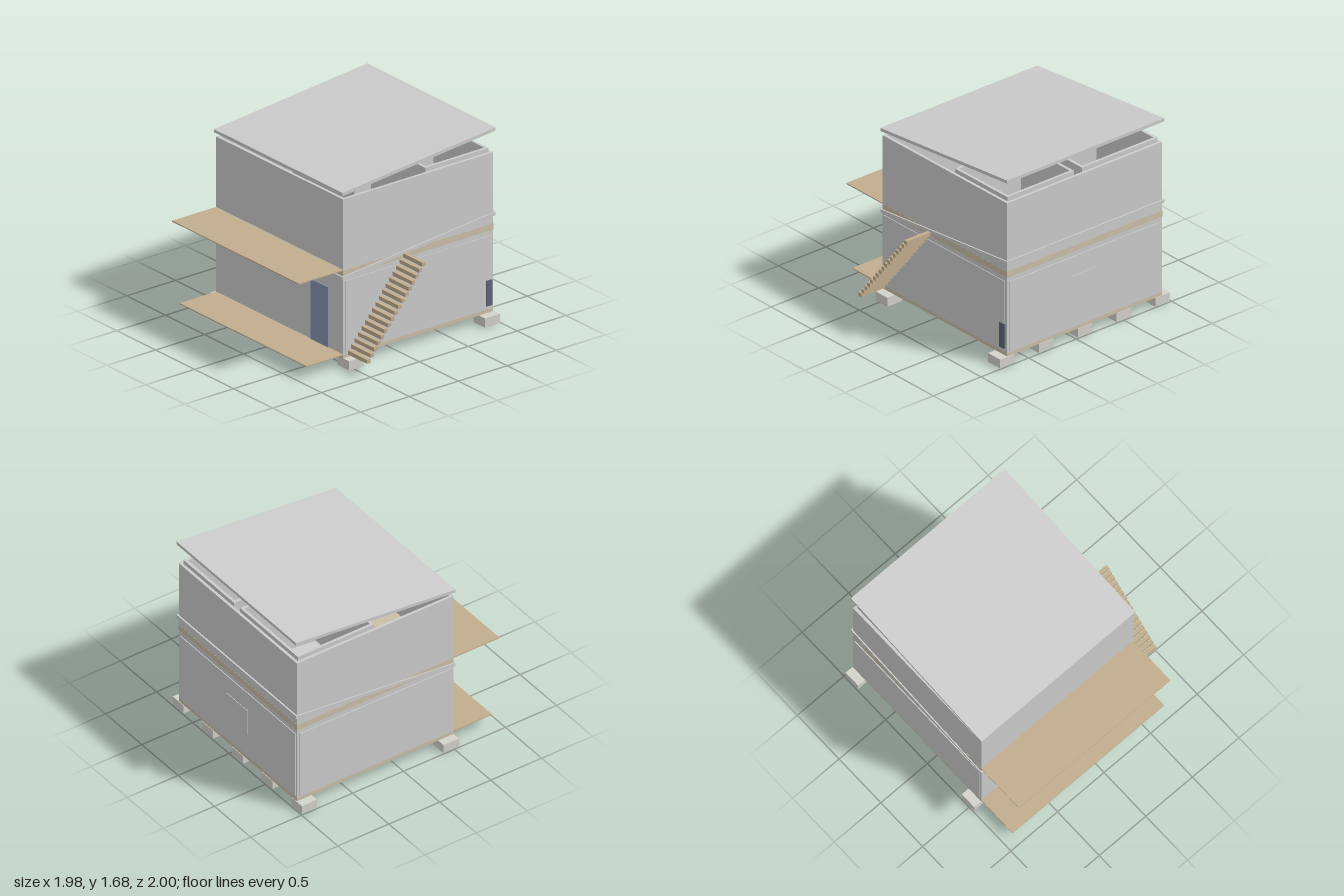
import * as THREE from 'three';

const paint = (color) => new THREE.MeshStandardMaterial({ color, flatShading: true });
const grey = paint(0xcccccc);
const timber = paint(0xc1ad8e);
const slab = paint(0xcabfa8);
const concrete = paint(0xd2d1ca);
const doorBlue = paint(0x8390af);
const glass = paint(0x5c6573);

// Box given by its limits on each axis
function box(name, [x0, x1], [y0, y1], [z0, z1], material = grey) {
  const mesh = new THREE.Mesh(new THREE.BoxGeometry(x1 - x0, y1 - y0, z1 - z0), material);
  mesh.position.set((x0 + x1) / 2, (y0 + y1) / 2, (z0 + z1) / 2);
  mesh.name = name;
  return mesh;
}

// Rectangular ring of walls, open at top and bottom
function walls(name, [x0, x1], [y0, y1], [z0, z1], t) {
  const rect = (Type, a, b, c, d) =>
    new Type([[a, c], [b, c], [b, d], [a, d]].map(([x, y]) => new THREE.Vector2(x, y)));
  const shape = rect(THREE.Shape, x0, x1, -z1, -z0);
  shape.holes.push(rect(THREE.Path, x0 + t, x1 - t, -z1 + t, -z0 - t));
  const geometry = new THREE.ExtrudeGeometry(shape, { depth: y1 - y0, bevelEnabled: false });
  geometry.rotateX(-Math.PI / 2);
  const mesh = new THREE.Mesh(geometry, grey);
  mesh.position.y = y0;
  mesh.name = name;
  return mesh;
}

// Plate rising towards the back; y is the underside at the front edge
function slopedRoof(name, y) {
  const shape = new THREE.Shape();
  shape.moveTo(-0.565, y);
  shape.lineTo(1.0, y + 0.152);
  shape.lineTo(1.0, y + 0.18);
  shape.lineTo(-0.565, y + 0.028);
  const geometry = new THREE.ExtrudeGeometry(shape, { depth: 1.65, bevelEnabled: false });
  geometry.rotateY(Math.PI / 2);
  const mesh = new THREE.Mesh(geometry, grey);
  mesh.position.x = -0.925;
  mesh.name = name;
  return mesh;
}

export function createModel() {
  const model = new THREE.Group();
  model.name = 'house';
  const X = [-0.915, 0.712];
  const Z = [-0.985, 0.55];

  // Footings in two rows
  const footings = new THREE.Group();
  footings.name = 'footings';
  for (let i = 0; i < 5; i++) {
    const x = -0.99 + i * 0.4075;
    for (const z of [-0.99, 0.4]) {
      footings.add(box('footing', [x, x + 0.15], [0, 0.08], [z, z + 0.15], concrete));
    }
  }
  model.add(footings);

  // Floors and front decks
  model.add(
    box('groundFloor', X, [0.08, 0.11], Z, slab),
    box('upperFloor', [X[0] - 0.001, X[1] + 0.001], [0.79, 0.845], [Z[0] - 0.001, Z[1] + 0.001], slab),
    box('lowerDeck', X, [0.105, 0.114], [0.55, 0.925], timber),
    box('upperDeck', X, [0.842, 0.851], [0.55, 1.0], timber)
  );

  // Both storeys
  model.add(
    walls('lowerWalls', X, [0.11, 0.79], Z, 0.025),
    walls('upperWalls', X, [0.845, 1.463], Z, 0.025)
  );

  // Cladding on the sides and back
  model.add(
    box('leftCladding', [0.71, 0.718], [0.13, 0.75], [-0.96, 0.53]),
    box('rightCladding', [-0.923, -0.914], [0.13, 0.75], [-0.96, 0.53]),
    box('backCladding', [-0.9, 0.69], [0.13, 0.75], [-0.992, -0.984])
  );

  // Upper rooms standing above the outer walls
  model.add(
    walls('rightRoom', [-0.89, -0.095], [0.845, 1.5], [-0.958, -0.21], 0.025),
    walls('leftRoom', [-0.012, 0.687], [0.845, 1.5], [-0.958, -0.31], 0.025)
  );

  // Door and windows
  model.add(
    box('frontDoor', [0.302, 0.526], [0.112, 0.638], [0.545, 0.557], doorBlue),
    box('sideWindow', [0.71, 0.729], [0.145, 0.365], [-0.965, -0.905], glass),
    box('backWindow', [-0.25, 0.04], [0.34, 0.58], [-0.997, -0.985])
  );

  model.add(slopedRoof('middleRoof', 0.765), slopedRoof('topRoof', 1.5));

  // Open stair along the side
  const stairs = new THREE.Group();
  stairs.name = 'stairs';
  const count = 17;
  for (let i = 0; i < count; i++) {
    const t = i / (count - 1);
    const y = 0.118 + t * 0.694;
    const z = 0.49 - t * 0.563;
    stairs.add(box('step', [0.74, 0.988], [y, y + 0.034], [z, z + 0.034], timber));
  }
  model.add(stairs);

  return model;
}
